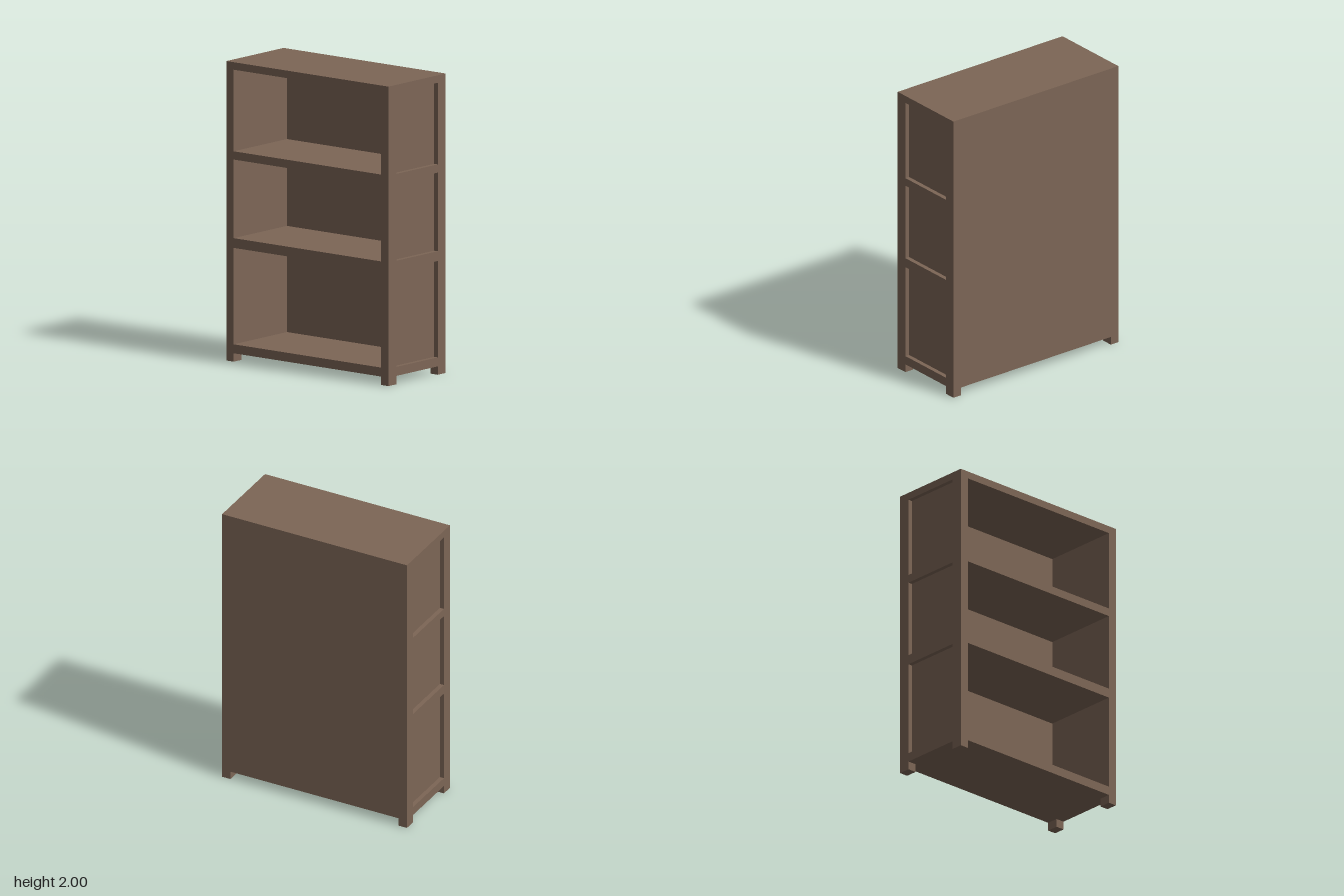
import * as THREE from 'three';

const W = 0.69, D = 0.294, H = 2;      // half width, half depth, height
const INNER = 0.628, POST = 0.213;     // inner edges of the corner posts in x and z
const BASE = 0.056;                    // underside of the bottom board
const RECESS = 0.03, BACK = 0.04;      // side panel recess, back board thickness
const BAYS = [[0.116, 0.76], [0.825, 1.35], [1.405, 1.95]]; // open heights between shelves

const wood = new THREE.MeshStandardMaterial({ color: 0x7d6656 });

function add(parent, name, geometry, x = 0, y = 0, z = 0) {
  const mesh = new THREE.Mesh(geometry, wood);
  mesh.name = name;
  mesh.position.set(x, y, z);
  parent.add(mesh);
  return mesh;
}

// Cuts one rectangular hole per bay, then extrudes the board
function boardWithBays(outline, halfOpening, depth) {
  const shape = new THREE.Shape(outline.map(([x, y]) => new THREE.Vector2(x, y)));
  for (const [y0, y1] of BAYS) {
    const corners = [[-halfOpening, y0], [-halfOpening, y1], [halfOpening, y1], [halfOpening, y0]];
    shape.holes.push(new THREE.Path(corners.map(([x, y]) => new THREE.Vector2(x, y))));
  }
  return new THREE.ExtrudeGeometry(shape, { depth, bevelEnabled: false });
}

export function createModel() {
  const model = new THREE.Group();
  model.name = 'bookcase';
  const shell = W - RECESS;

  // Shelves, top, bottom and inner side panels as one open-fronted carcass
  const carcass = boardWithBays(
    [[-shell, BASE], [shell, BASE], [shell, H], [-shell, H]], INNER, 2 * D - BACK);
  add(model, 'carcass', carcass, 0, 0, -D + BACK);

  // Closed back
  add(model, 'backPanel', new THREE.BoxGeometry(2 * shell, H - BASE, BACK),
    0, (H + BASE) / 2, -D + BACK / 2);

  // Outer side frames: posts and rails around recessed panels, notched between the feet
  const frame = boardWithBays(
    [[-D, 0], [-POST, 0], [-POST, BASE], [POST, BASE], [POST, 0], [D, 0], [D, H], [-D, H]],
    POST, RECESS);
  frame.rotateY(Math.PI / 2);
  add(model, 'leftSideFrame', frame, shell);
  add(model, 'rightSideFrame', frame, -W);

  // Inner halves of the four feet
  const foot = new THREE.BoxGeometry(shell - INNER, BASE, D - POST);
  for (const sx of [1, -1]) {
    for (const sz of [1, -1]) {
      const name = (sz > 0 ? 'front' : 'back') + (sx > 0 ? 'Left' : 'Right') + 'Foot';
      add(model, name, foot, sx * (shell + INNER) / 2, BASE / 2, sz * (D + POST) / 2);
    }
  }
  return model;
}
